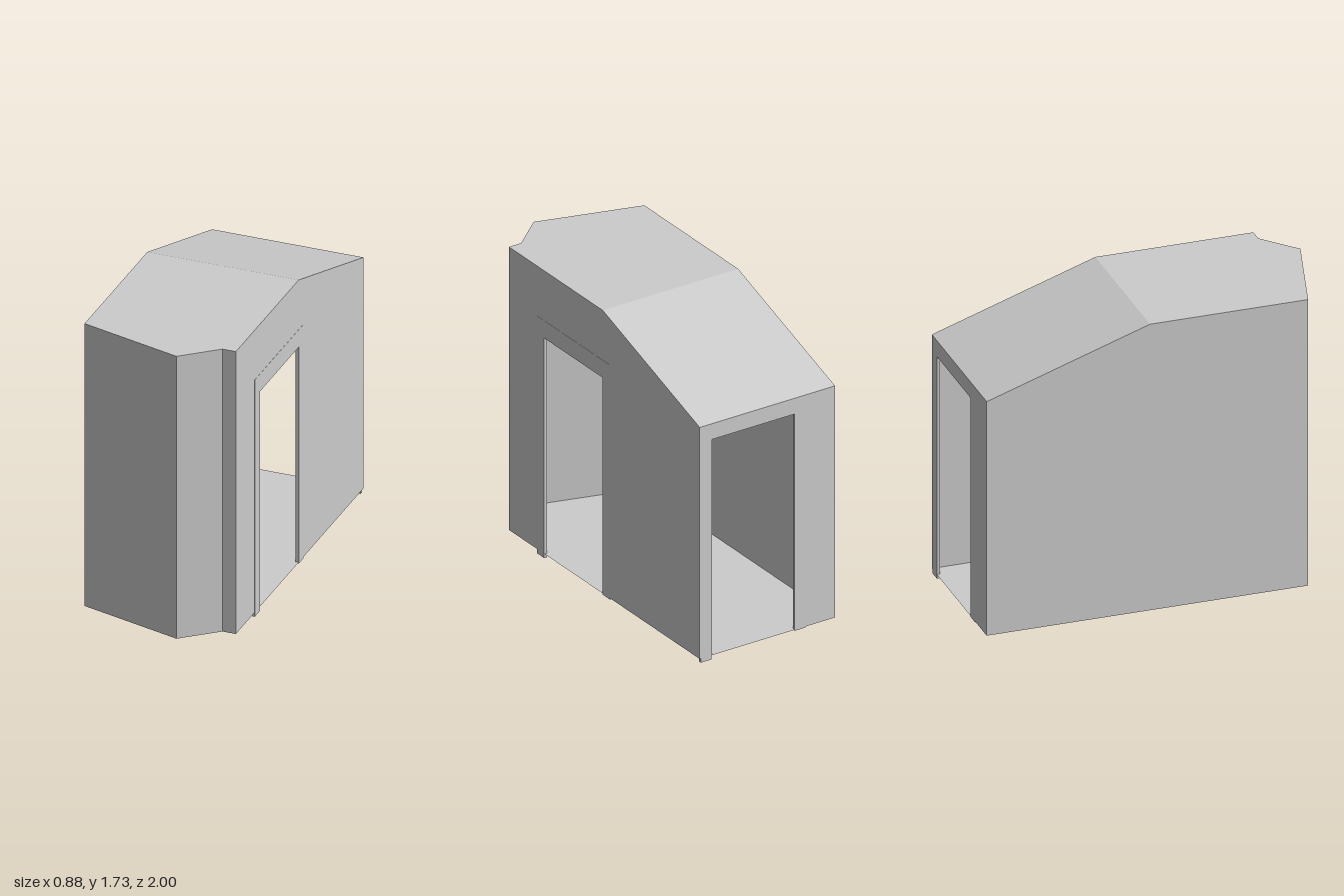
import * as THREE from 'three';

const FLOOR = 0.025, TOP = 1.73, EAVE = 1.42, DOOR_TOP = 1.325;
const LEFT = 0.435, RIGHT = -0.44, BACK = -1, RIDGE = -0.07;
// Plan of the pointed front, from right to left
const FRONT = [[RIGHT, 0.83], [0.16, 1], [0.357, 0.83], [LEFT, 0.83]];

export function createModel() {
  const group = new THREE.Group();
  const material = new THREE.MeshStandardMaterial({ color: 0xcccccc, side: THREE.DoubleSide });

  const add = (name, geometry) => {
    const mesh = new THREE.Mesh(geometry, material);
    mesh.name = name;
    group.add(mesh);
    return geometry;
  };
  const outline = (points) => new THREE.Shape(points.map(([x, y]) => new THREE.Vector2(x, y)));
  const flat = (points) => new THREE.ShapeGeometry(outline(points));

  // Flat four-cornered panel, corners anticlockwise from outside
  const quad = (a, b, c, d) => {
    const geometry = new THREE.BufferGeometry();
    geometry.setAttribute('position', new THREE.Float32BufferAttribute([a, b, c, a, c, d].flat(), 3));
    geometry.computeVertexNormals();
    return geometry;
  };

  // Side walls, drawn as (z, y); the left one has a doorway notch
  const roofLine = [[0.83, TOP], [RIDGE, TOP], [BACK, EAVE], [BACK, FLOOR]];
  const notch = [[-0.07, FLOOR], [-0.07, DOOR_TOP], [0.49, DOOR_TOP], [0.49, FLOOR]];
  add('rightWall', flat([[0.83, FLOOR], ...roofLine])).rotateY(-Math.PI / 2).translate(RIGHT, 0, 0);
  // Mirrored so that its front faces outwards
  add('leftWall', flat([[0.83, FLOOR], ...roofLine, ...notch].map(([z, y]) => [-z, y])))
    .rotateY(Math.PI / 2).translate(LEFT, 0, 0);

  // Back wall with its doorway
  add('backWall', flat([
    [-LEFT, FLOOR], [-LEFT, EAVE], [-RIGHT, EAVE], [-RIGHT, FLOOR],
    [0.18, FLOOR], [0.18, DOOR_TOP], [-0.357, DOOR_TOP], [-0.357, FLOOR],
  ])).rotateY(Math.PI).translate(0, 0, BACK);

  // Folded front walls
  for (let i = 0; i < 3; i++) {
    const [x0, z0] = FRONT[i], [x1, z1] = FRONT[i + 1];
    add('frontWall' + (i + 1), quad([x0, FLOOR, z0], [x1, FLOOR, z1], [x1, TOP, z1], [x0, TOP, z0]));
  }

  // Floor and the two roof planes
  add('floor', flat([...FRONT, [LEFT, BACK], [RIGHT, BACK]])).rotateX(Math.PI / 2).translate(0, FLOOR, 0);
  add('flatRoof', flat([...FRONT, [LEFT, RIDGE], [RIGHT, RIDGE]].map(([x, z]) => [x, -z])))
    .rotateX(-Math.PI / 2).translate(0, TOP, 0);
  add('slopingRoof', quad([RIGHT, TOP, RIDGE], [LEFT, TOP, RIDGE], [LEFT, EAVE, BACK], [RIGHT, EAVE, BACK]));

  // Thin door frame: low and high jamb, the high one reaching the ground
  const frame = (a, b, outer, top) => new THREE.ExtrudeGeometry(outline([
    [a - 0.07, 0.018], [a, 0.018], [a, DOOR_TOP], [b, DOOR_TOP],
    [b, 0], [outer, 0], [outer, top], [a - 0.07, top],
  ]), { depth: 0.018, bevelEnabled: false });
  add('sideDoorFrame', frame(-0.07, 0.49, 0.56, 1.43)).rotateY(-Math.PI / 2).translate(LEFT + 0.001, 0, 0);
  add('backDoorFrame', frame(-0.18, 0.357, 0.427, 1.4)).translate(0, 0, BACK + 0.001);

  return group;
}
